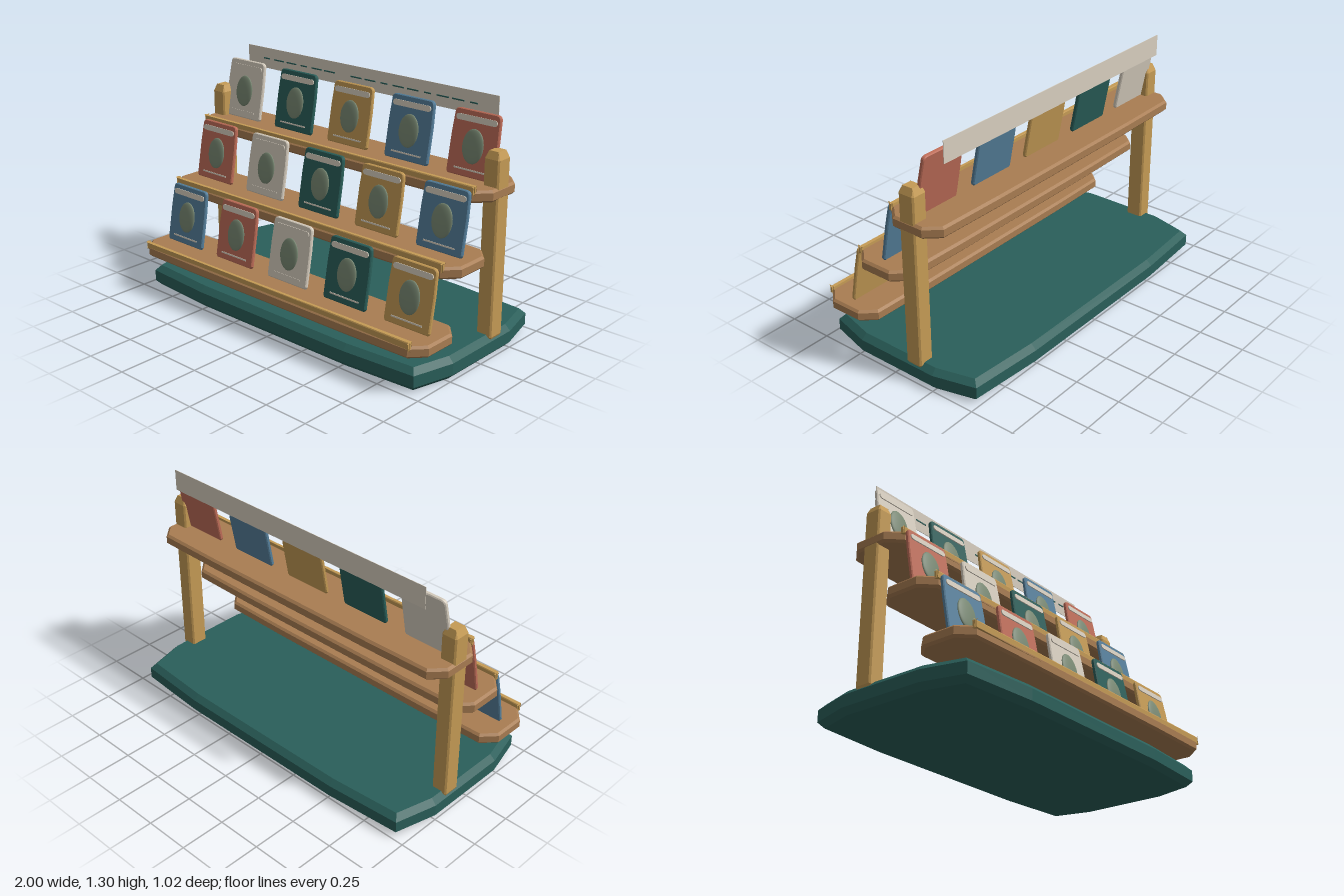
import * as THREE from 'three';

const mat = (name, color) => {
  const m = new THREE.MeshStandardMaterial({ color });
  m.name = name;
  return m;
};

export function createModel() {
  const teal = mat('teal', 0x2a5f5a);
  const wood = mat('wood', 0xa97d52);
  const gold = mat('gold', 0xc59b55);
  const blue = mat('blue', 0x56809c);
  const red = mat('red', 0xbf6d58);
  const cream = mat('cream', 0xd8cfc0);
  const sage = mat('sage', 0x7a8a74);
  const packetColours = [blue, red, cream, teal, gold];

  const model = new THREE.Group();
  model.name = 'packetDisplayStand';

  const add = (parent, name, geometry, material, x = 0, y = 0, z = 0) => {
    const mesh = new THREE.Mesh(geometry, material);
    mesh.name = name;
    mesh.position.set(x, y, z);
    parent.add(mesh);
    return mesh;
  };

  // Bevelled slab standing on y = 0; corners are given for one quarter and mirrored
  const slab = (quarter, height, inset, rise = inset) => {
    const back = [...quarter].reverse();
    const outline = [
      ...back.map(([x, z]) => [x, -z]).reverse(),
      ...back.map(([x, z]) => [x, z]),
      ...quarter.map(([x, z]) => [-x, z]),
      ...back.map(([x, z]) => [-x, -z]),
    ].map(([x, z]) => new THREE.Vector2(x, z));
    const geometry = new THREE.ExtrudeGeometry(new THREE.Shape(outline), {
      depth: height - 2 * rise, bevelEnabled: true, bevelSegments: 1,
      bevelSize: inset, bevelOffset: -inset, bevelThickness: rise,
    });
    return geometry.translate(0, 0, rise).rotateX(-Math.PI / 2);
  };

  // Base
  add(model, 'base', slab([[0.52, 0.5], [0.94, 0.47], [1, 0.24]], 0.122, 0.03),
    teal, 0, 0.006, -0.01);

  // Posts with chamfered tops
  const postGeometry = slab([[0.036, 0.048], [0.044, 0.04]], 1.0, 0.018, 0.038);
  for (const side of [-1, 1]) {
    add(model, side > 0 ? 'leftPost' : 'rightPost', postGeometry, gold, side * 0.954, 0.08, -0.127);
  }

  // Packet pouch with narrowed, rounded top
  const pouch = new THREE.Shape();
  pouch.moveTo(-0.132, 0);
  pouch.lineTo(0.132, 0);
  pouch.lineTo(0.14, 0.012);
  pouch.lineTo(0.14, 0.2);
  pouch.lineTo(0.135, 0.305);
  pouch.quadraticCurveTo(0.134, 0.328, 0.11, 0.33);
  pouch.lineTo(-0.11, 0.33);
  pouch.quadraticCurveTo(-0.134, 0.328, -0.135, 0.305);
  pouch.lineTo(-0.14, 0.2);
  pouch.lineTo(-0.14, 0.012);
  pouch.closePath();
  const pouchGeometry = new THREE.ExtrudeGeometry(pouch, {
    depth: 0.012, curveSegments: 5, bevelEnabled: true, bevelSegments: 1,
    bevelSize: 0.005, bevelOffset: -0.005, bevelThickness: 0.005,
  }).translate(0, 0, -0.006);

  // Header strip with rounded ends
  const strip = new THREE.Shape();
  strip.absarc(0.106, 0, 0.015, -Math.PI / 2, Math.PI / 2);
  strip.absarc(-0.106, 0, 0.015, Math.PI / 2, Math.PI * 1.5);
  const stripGeometry = new THREE.ExtrudeGeometry(strip, {
    depth: 0.006, curveSegments: 5, bevelEnabled: false,
  });
  const ovalGeometry = new THREE.SphereGeometry(1, 28, 14).scale(0.0625, 0.087, 0.013);
  const lineGeometry = new THREE.BoxGeometry(0.19, 0.008, 0.004);

  const addPacket = (parent, material, x, y, z) => {
    const packet = new THREE.Group();
    packet.name = 'packet';
    packet.position.set(x, y, z);
    packet.rotation.x = -0.183;
    add(packet, 'pouch', pouchGeometry, material);
    add(packet, 'headerStrip', stripGeometry, cream, 0, 0.287, 0.01);
    add(packet, 'ovalPicture', ovalGeometry, sage, 0, 0.155, 0.013);
    add(packet, 'lowerLine', lineGeometry, cream, 0, 0.037, 0.012);
    parent.add(packet);
  };

  // Stepped shelves, each with a front rail and five leaning packets
  const shelfGeometry = slab([[0.54, 0.172], [0.93, 0.166], [1, 0.09]], 0.062, 0.012);
  const railGeometry = slab([[0.945, 0.006], [0.94, 0.012]], 0.045, 0.005);
  const shelves = [[0.2, 0.337], [0.524, 0.1], [0.844, -0.13]];
  shelves.forEach(([y, z], row) => {
    const tier = new THREE.Group();
    tier.name = ['lowerTier', 'middleTier', 'upperTier'][row];
    add(tier, 'shelf', shelfGeometry, wood, 0, y, z);
    add(tier, 'frontRail', railGeometry, gold, 0, y + 0.041, z + 0.159);
    for (let i = 0; i < 5; i++) {
      addPacket(tier, packetColours[(row + i) % 5], -0.8 + 0.4 * i, y + 0.062, z + 0.006);
    }
    model.add(tier);
  });

  // Header board with a plain dashed line
  add(model, 'headerBoard', new THREE.BoxGeometry(1.735, 0.117, 0.003), cream, 0, 1.246, -0.25);
  for (let i = 0; i < 16; i++) {
    if (i === 6) continue;
    add(model, 'headerDash', new THREE.BoxGeometry(i % 3 ? 0.075 : 0.045, 0.007, 0.003),
      teal, -0.72 + i * 0.096, 1.244, -0.247);
  }

  return model;
}
